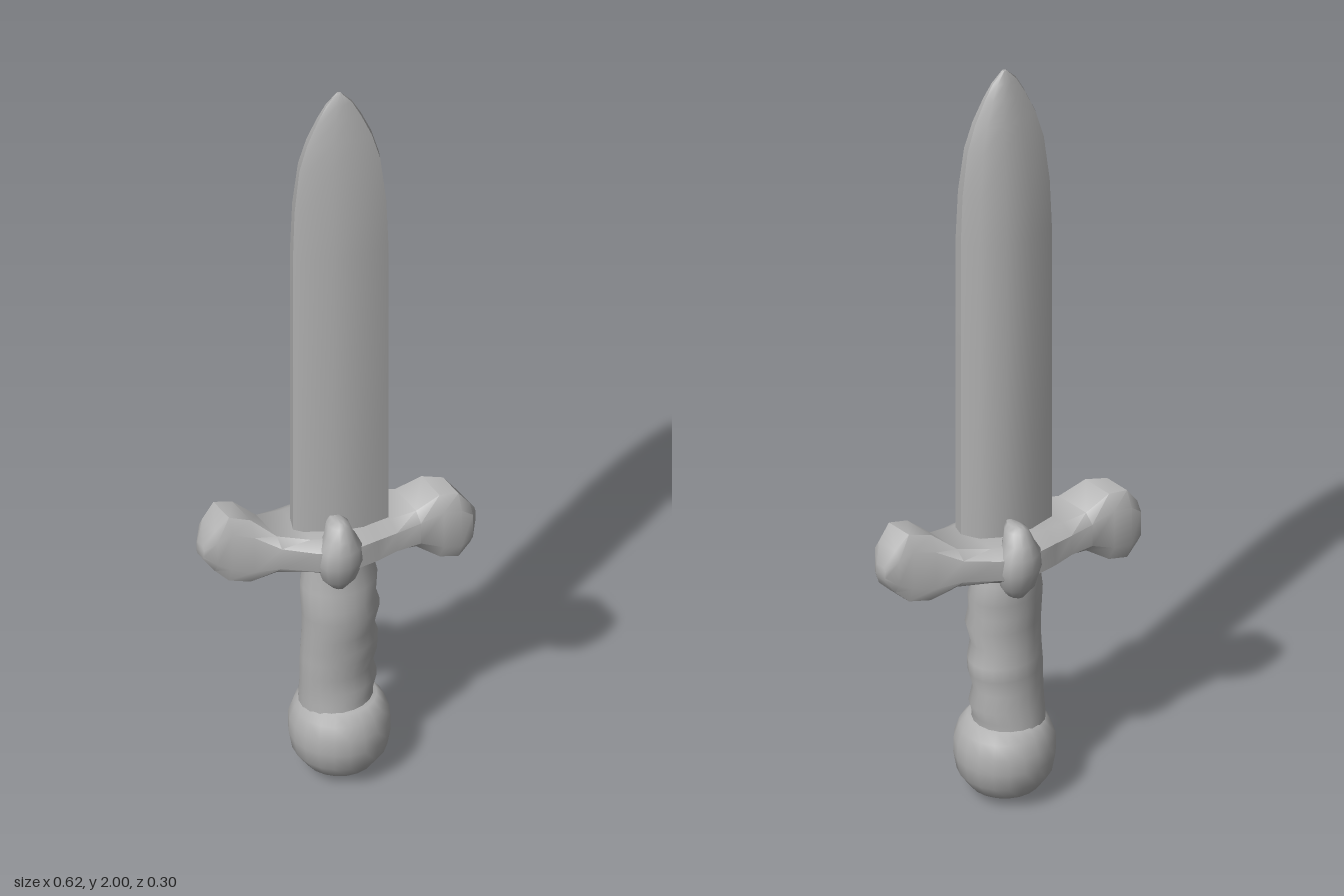
import * as THREE from 'three';
import { toCreasedNormals } from 'three/addons/utils/BufferGeometryUtils.js';

// Skin a list of equal-sized rings of [x, y, z] points and close both ends.
function loft(rings, crease) {
  const n = rings[0].length, pos = rings.flat(2), idx = [];
  rings.slice(1).forEach((_, r) => {
    for (let i = 0; i < n; i++) {
      const a = r * n + i, b = r * n + (i + 1) % n;
      idx.push(a, a + n, b, b, a + n, b + n);
    }
  });
  [0, rings.length - 1].forEach((r, end) => {
    const c = pos.length / 3;
    for (let k = 0; k < 3; k++) pos.push(rings[r].reduce((s, p) => s + p[k], 0) / n);
    for (let i = 0; i < n; i++) {
      const a = r * n + i, b = r * n + (i + 1) % n;
      if (end) idx.push(c, b, a); else idx.push(c, a, b);
    }
  });
  // Turn the faces outward if the signed volume is negative
  const P = i => new THREE.Vector3().fromArray(pos, i * 3);
  let volume = 0;
  for (let i = 0; i < idx.length; i += 3) volume += P(idx[i]).dot(P(idx[i + 1]).cross(P(idx[i + 2])));
  if (volume < 0) idx.reverse();
  const g = new THREE.BufferGeometry();
  g.setAttribute('position', new THREE.Float32BufferAttribute(pos, 3));
  g.setIndex(idx);
  return toCreasedNormals(g, crease);
}

// Horizontal rounded ring between x and z limits
function ovalRing(y, x0, x1, z0, z1, n = 20) {
  return Array.from({ length: n }, (_, i) => {
    const a = i / n * Math.PI * 2;
    return [(x0 + x1) / 2 + (x1 - x0) / 2 * Math.cos(a), y, (z0 + z1) / 2 + (z1 - z0) / 2 * Math.sin(a)];
  });
}

export function createModel() {
  const group = new THREE.Group();
  const steel = new THREE.MeshStandardMaterial({ color: 0xb0b0b0 });
  steel.name = 'grey steel';
  const add = (name, geometry) => {
    const mesh = new THREE.Mesh(geometry, steel);
    mesh.name = name;
    group.add(mesh);
    return mesh;
  };

  // Blade: skewed lens section, narrowing to a rounded point
  const section = [[-0.117, 0], [-0.1, -0.042], [-0.03, -0.053], [0.04, -0.042], [0.09, -0.005],
    [0.112, 0.04], [0.1, 0.072], [0.03, 0.076], [-0.04, 0.055], [-0.1, 0.018]];
  const blade = [[0.68, 1, 1], [1.2, 1, 1], [1.55, 1, 1], [1.68, 0.97, 0.92], [1.8, 0.87, 0.74],
    [1.87, 0.7, 0.57], [1.93, 0.47, 0.38], [1.97, 0.28, 0.22], [2, 0.04, 0.06]];
  add('blade', loft(blade.map(([y, sx, sz]) =>
    section.map(([x, z]) => [x * sx, y, 0.013 + (z - 0.013) * sz])), 0.75));

  // Crossguard: [x, y bottom, y top, z back, z front], half-turn symmetric
  const half = [[-0.312, 0.675, 0.71, -0.115, -0.08], [-0.285, 0.635, 0.75, -0.148, -0.062],
    [-0.255, 0.604, 0.79, -0.149, -0.045], [-0.215, 0.606, 0.788, -0.133, -0.01],
    [-0.165, 0.64, 0.745, -0.112, 0.03], [-0.1, 0.645, 0.74, -0.112, 0.085],
    [-0.05, 0.635, 0.742, -0.112, 0.115]];
  const guard = [...half, ...half.map(([x, y0, y1, z0, z1]) => [-x, y0, y1, -z1, -z0]).reverse()];
  add('crossguard', loft(guard.map(([x, y0, y1, z0, z1]) => {
    const by = (y1 - y0) * 0.22, bz = (z1 - z0) * 0.16;
    return [[y0, z0 + bz], [y0 + by, z0], [y1 - by, z0], [y1, z0 + bz],
      [y1, z1 - bz], [y1 - by, z1], [y0 + by, z1], [y0, z1 - bz]].map(([y, z]) => [x, y, z]);
  }), 0.8));

  // Pointed bosses on both faces of the guard
  const boss = [[0.598, 0.02, 0.095], [0.63, 0.045, 0.118], [0.68, 0.058, 0.131],
    [0.72, 0.054, 0.13], [0.75, 0.036, 0.12], [0.78, 0.026, 0.105], [0.79, 0.012, 0.095]];
  const bossGeometry = loft(boss.map(([y, w, z]) =>
    ovalRing(y, -0.038 - w, -0.038 + w, 0.04, z, 12)), 1);
  add('frontBoss', bossGeometry);
  add('backBoss', bossGeometry).rotation.y = Math.PI;

  // Grip: straight on one side, finger swells on the other
  const grip = [[0.18, -0.09, 0.09, -0.09, 0.09], [0.23, -0.09, 0.088, -0.082, 0.082],
    [0.265, -0.09, 0.1, -0.078, 0.08], [0.305, -0.092, 0.088, -0.07, 0.077],
    [0.35, -0.092, 0.1, -0.073, 0.083], [0.385, -0.091, 0.1, -0.07, 0.085],
    [0.425, -0.092, 0.086, -0.063, 0.088], [0.48, -0.092, 0.101, -0.067, 0.093],
    [0.515, -0.095, 0.09, -0.065, 0.092], [0.56, -0.093, 0.1, -0.07, 0.082],
    [0.61, -0.085, 0.088, -0.066, 0.075], [0.67, -0.08, 0.08, -0.06, 0.07]];
  add('grip', loft(grip.map(g => ovalRing(...g)), 1));

  // Pommel: round knob with a flattened base
  const profile = [[0, 0], [0.04, 0.006], [0.085, 0.03], [0.113, 0.07], [0.121, 0.115],
    [0.12, 0.155], [0.108, 0.19], [0.088, 0.215], [0, 0.235]];
  const pommel = add('pommel', new THREE.LatheGeometry(profile.map(p => new THREE.Vector2(...p)), 20));
  pommel.position.set(0.006, 0, 0.005);

  return group;
}
